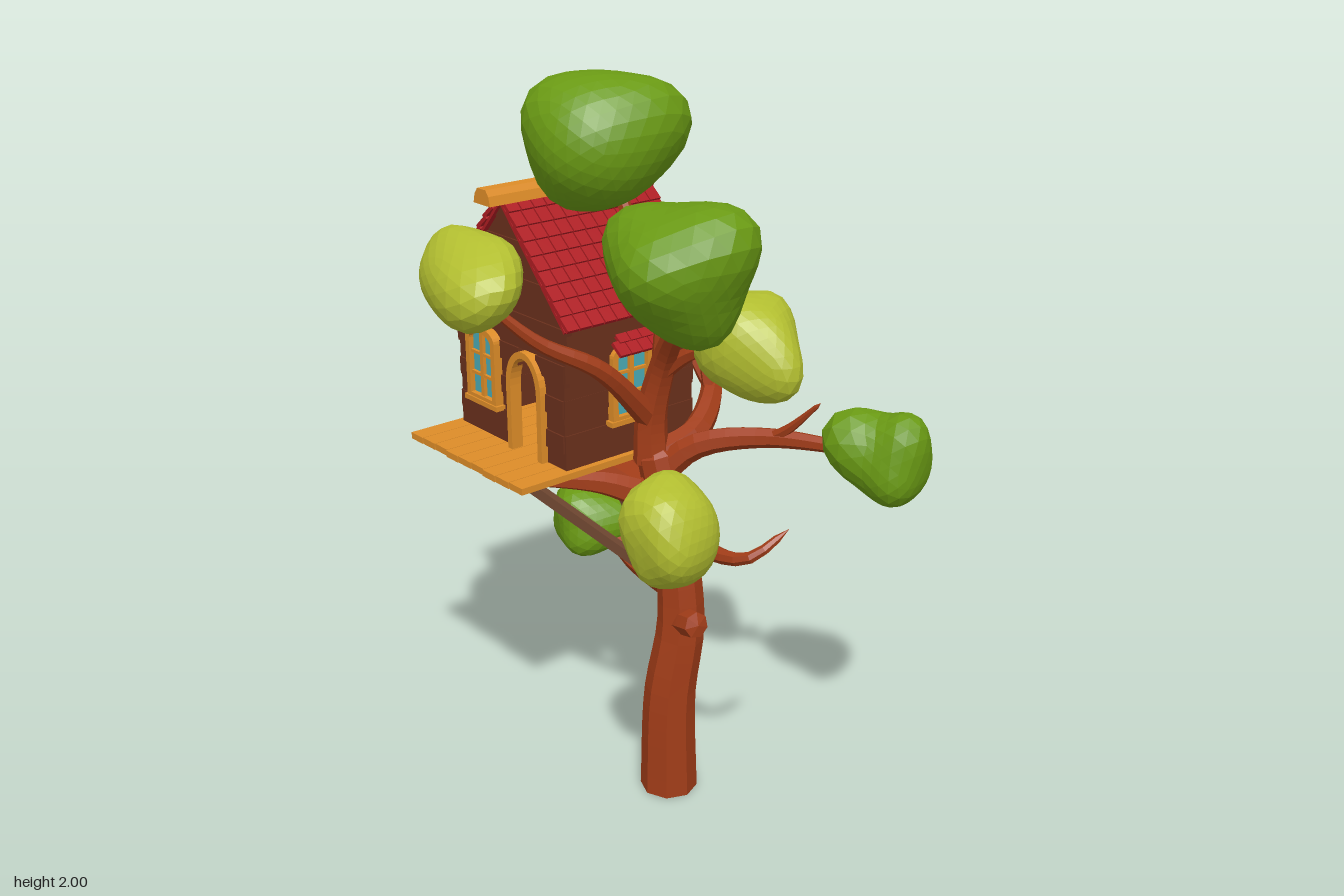
import * as THREE from 'three';

const V = (a) => new THREE.Vector3(...a);
const mat = (color) => new THREE.MeshStandardMaterial({ color, flatShading: true, side: THREE.DoubleSide });
const BARK = mat(0xa03c18), WALL = mat(0x6a301c), TRIM = mat(0xdd8c28), TILE = mat(0xae1c22),
  GLASS = mat(0x4aaab4), LEAF = mat(0x6a9a14), LIGHT = mat(0xb2be30), BEAM = mat(0x6e4630), RUG = mat(0xa8286a);

function add(parent, name, geo, material, pos = [0, 0, 0]) {
  const m = new THREE.Mesh(geo, material);
  m.name = name;
  m.position.set(...pos);
  parent.add(m);
  return m;
}
const box = (p, name, size, pos, m) => add(p, name, new THREE.BoxGeometry(...size), m, pos);
const extrude = (shape, depth) => new THREE.ExtrudeGeometry(shape, { depth, bevelEnabled: false, curveSegments: 8 });
const poly = (pts) => new THREE.Shape(pts.map((p) => new THREE.Vector2(...p)));

// Tapered faceted limb along a curve, closing to a point at its tip
function limb(parent, name, r0, r1, sides, ...pts) {
  const curve = new THREE.CatmullRomCurve3(pts.map(V)), segs = pts.length * 4;
  const geo = new THREE.TubeGeometry(curve, segs, 1, sides);
  const pos = geo.attributes.position, v = new THREE.Vector3();
  for (let i = 0; i <= segs; i++) {
    const c = curve.getPointAt(i / segs);
    const r = i === segs ? 0 : r0 + (r1 - r0) * (i / segs);
    for (let j = 0; j <= sides; j++) {
      const k = i * (sides + 1) + j;
      v.fromBufferAttribute(pos, k).sub(c).multiplyScalar(r).add(c);
      pos.setXYZ(k, v.x, v.y, v.z);
    }
  }
  add(parent, name, geo, BARK);
}

// Limb between two points, its middle lifted by a given height
function twig(parent, name, r0, r1, from, to, lift) {
  const mid = V(from).lerp(V(to), 0.4);
  mid.y += lift;
  limb(parent, name, r0, r1, 6, from, mid.toArray(), to);
}

// Lumpy leaf cluster with a centre and half-sizes
function foliage(parent, centre, half, material, seed) {
  let s = seed * 7919 + 13;
  const rnd = () => ((s = (s * 16807) % 2147483647) / 2147483647) * 2 - 1;
  const lobes = Array.from({ length: 7 }, () => V([rnd(), rnd() * 0.8, rnd()]).normalize());
  const geo = new THREE.IcosahedronGeometry(1, 4), pos = geo.attributes.position, v = new THREE.Vector3();
  for (let i = 0; i < pos.count; i++) {
    v.fromBufferAttribute(pos, i).normalize();
    let r = 0.85;
    for (const l of lobes) r += 0.28 * Math.exp(6 * (v.dot(l) - 1));
    v.multiplyScalar(r);
    pos.setXYZ(i, v.x, v.y, v.z);
  }
  geo.center();
  const b = geo.boundingBox.getSize(new THREE.Vector3());
  geo.scale(2 * half[0] / b.x, 2 * half[1] / b.y, 2 * half[2] / b.z);
  add(parent, 'foliage', geo, material, centre);
}

// Arch outline: straight sides to the spring line, curved top
function arch(w, h, rise) {
  const s = new THREE.Shape();
  s.moveTo(-w, 0); s.lineTo(w, 0); s.lineTo(w, h - rise);
  s.bezierCurveTo(w, h - rise * 0.4, w * 0.5, h, 0, h);
  s.bezierCurveTo(-w * 0.5, h, -w, h - rise * 0.4, -w, h - rise);
  return s;
}

function buildWindow(parent, pos, turn, awning) {
  const g = new THREE.Group();
  g.name = 'window';
  const frame = arch(0.067, 0.215, 0.035), hole = arch(0.05, 0.18, 0.025);
  frame.holes.push(new THREE.Path(hole.getPoints(8).map((p) => p.add(new THREE.Vector2(0, 0.017)))));
  add(g, 'windowFrame', extrude(frame, 0.025), TRIM);
  add(g, 'windowGlass', extrude(arch(0.055, 0.195, 0.025), 0.01), GLASS, [0, 0.01, 0]);
  box(g, 'windowBar', [0.014, 0.19, 0.02], [0, 0.107, 0.01], TRIM);
  for (const y of [0.075, 0.135]) box(g, 'windowBar', [0.11, 0.008, 0.018], [0, y, 0.01], TRIM);
  box(g, 'windowSill', [0.15, 0.014, 0.035], [0, 0, 0.012], TRIM);
  if (awning) for (let r = 0; r < 2; r++) for (let i = 0; i < 4 - r; i++) {
    const t = box(g, 'awningTile', [0.034, 0.01, 0.045],
      [(i - (3 - r) / 2) * 0.037, 0.212 + r * 0.025, 0.045 - r * 0.026], TILE);
    t.rotation.x = 0.65;
  }
  g.position.set(...pos);
  g.rotation.y = turn;
  parent.add(g);
}

const EAVE = 1.38, TOP = 1.66, FRONT = 0.21, BACK = -0.225, DOOR_X = 0.082, DOOR_W = 0.06, DOOR_TOP = 1.265;
const halfW = (y) => y < EAVE ? 0.232 + 0.022 * ((y - 1.1) / 0.28) ** 2 : 0.254 * (TOP - y) / (TOP - EAVE);

function buildHouse(root) {
  const h = new THREE.Group();
  h.name = 'house';
  h.position.x = -0.325;
  root.add(h);

  // Floor planks running front to back
  for (let i = 0; i < 9; i++)
    box(h, 'floorPlank', [0.055, 0.018, 0.6 - (i % 3) * 0.004], [-0.228 + i * 0.057, 0.977, 0.07], TRIM);

  // Lapped wall boards, split around the doorway at the front
  const n = 14, dh = (TOP - 0.985) / n;
  for (let i = 0; i < n; i++) {
    const y0 = 0.985 + i * dh, y1 = y0 + dh, a = halfW(y0), b = halfW(y1), mid = (y0 + y1) / 2;
    const lap = (i % 2) * 0.005, depth = 0.016 + lap;
    const full = [[-a, y0], [a, y0], [b, y1], [-b, y1]];
    add(h, 'backBoard', extrude(poly(full), depth), WALL, [0, 0, BACK - lap]);
    const k = Math.max(0, (mid - 1.18) / (DOOR_TOP - 1.18));
    const d = k < 1 ? DOOR_W * Math.sqrt(1 - k * k) + 0.004 : 0;
    const l = DOOR_X - d, r = DOOR_X + d;
    const pieces = d ? [[[-a, y0], [l, y0], [l, y1], [-b, y1]], [[r, y0], [a, y0], [b, y1], [r, y1]]] : [full];
    for (const p of pieces) add(h, 'frontBoard', extrude(poly(p), depth), WALL, [0, 0, FRONT - 0.016]);
    if (y0 < EAVE - 0.02) for (const s of [-1, 1])
      box(h, 'sideBoard', [depth, dh, FRONT - BACK], [s * (a - 0.006), mid, (FRONT + BACK) / 2], WALL);
  }

  // Door surround, windows, round gable window and bed
  const surround = arch(0.076, 0.29, 0.1);
  surround.holes.push(new THREE.Path(arch(0.057, 0.272, 0.09).getPoints(8)));
  add(h, 'doorFrame', extrude(surround, 0.035), TRIM, [DOOR_X, 0.985, FRONT - 0.015]);
  buildWindow(h, [-0.105, 1.085, FRONT], 0, false);
  for (const s of [-1, 1]) buildWindow(h, [s * 0.232, 1.085, 0], s * Math.PI / 2, true);
  const eye = [-0.01, 1.485, FRONT + 0.006];
  add(h, 'roundGlass', new THREE.CylinderGeometry(0.055, 0.055, 0.02, 18).rotateX(Math.PI / 2), GLASS, eye);
  add(h, 'roundFrame', new THREE.TorusGeometry(0.056, 0.012, 6, 18), TRIM, eye);
  box(h, 'roundBar', [0.008, 0.11, 0.03], eye, TRIM);
  box(h, 'roundBar', [0.11, 0.008, 0.03], eye, TRIM);
  box(h, 'bed', [0.24, 0.07, 0.16], [0.03, 1.02, -0.1], RUG);

  // Roof slopes: deck plus overlapping rows of tiles
  const run = 0.268, rise = 0.295, len = Math.hypot(run, rise);
  for (const s of [-1, 1]) {
    const slope = new THREE.Group();
    slope.name = 'roofSlope';
    slope.position.set(0, 1.665, -0.01);
    slope.rotation.z = -s * Math.atan2(rise, run);
    box(slope, 'roofDeck', [len - 0.01, 0.008, 0.47], [s * len / 2, -0.006, 0], TILE);
    for (let r = 0; r < 9; r++) for (let c = 0; c < 12; c++) {
      const t = box(slope, 'roofTile', [0.054, 0.011, 0.036], [s * (0.025 + r * 0.0435), 0.008, (c - 5.5) * 0.04], TILE);
      t.rotation.z = s * 0.14;
    }
    h.add(slope);
  }
  const cap = poly([[-0.036, 1.655], [0.036, 1.655], [0.03, 1.68], [0.018, 1.695], [-0.018, 1.695], [-0.03, 1.68]]);
  add(h, 'ridgeCap', extrude(cap, 0.53), TRIM, [-0.003, 0, -0.253]);
}

function buildTree(root) {
  // Trunk with closed base and a sawn-off knob
  limb(root, 'trunk', 0.08, 0.05, 8, [0.055, 0, -0.022], [0.055, 0.3, -0.025], [0.065, 0.52, -0.055],
    [0.035, 0.75, -0.055], [-0.03, 1.04, -0.03]);
  add(root, 'trunkBase', new THREE.CircleGeometry(0.08, 8).rotateX(Math.PI / 2), BARK, [0.055, 0.001, -0.022]);
  limb(root, 'knob', 0.04, 0.036, 7, [0.06, 0.52, -0.05], [0.11, 0.54, -0.035], [0.17, 0.555, -0.025]);

  // Main limbs
  limb(root, 'lowBranch', 0.035, 0.018, 7, [0.05, 0.6, -0.055], [-0.14, 0.63, -0.05], [-0.26, 0.7, -0.05]);
  limb(root, 'upperTrunk', 0.05, 0.025, 7, [-0.03, 0.97, -0.03], [-0.03, 1.1, -0.03], [0.02, 1.26, -0.03], [0.13, 1.4, 0.02]);
  limb(root, 'topBranch', 0.028, 0.015, 7, [0.1, 1.37, 0], [0.12, 1.44, 0.02], [0.04, 1.57, 0.06], [-0.04, 1.75, 0.08]);
  limb(root, 'leftBranch', 0.028, 0.014, 7, [0.1, 1.38, 0], [0.2, 1.43, 0.08], [0.32, 1.45, 0.16], [0.36, 1.55, 0.21]);
  limb(root, 'frontBranch', 0.035, 0.012, 7, [-0.03, 1.1, -0.02], [-0.02, 1.27, 0.15], [-0.07, 1.36, 0.3], [-0.13, 1.47, 0.41]);
  limb(root, 'rearBranch', 0.042, 0.014, 7, [-0.02, 0.92, -0.03], [0.06, 1.02, -0.1], [0.2, 1.06, -0.21], [0.48, 1.07, -0.34]);
  limb(root, 'sideBranch', 0.045, 0.008, 7, [-0.02, 0.9, -0.02], [0.28, 0.88, 0.09], [0.46, 0.9, 0.08], [0.51, 0.97, -0.01]);
  limb(root, 'houseBranch', 0.045, 0.014, 7, [-0.02, 0.98, -0.04], [0, 1.03, -0.16], [-0.09, 1.12, -0.3], [-0.35, 1.18, -0.42]);

  // Offshoots of the main limbs
  twig(root, 'twig', 0.025, 0.014, [0, 1.22, -0.03], [0.25, 1.35, -0.1], 0.03);
  twig(root, 'twig', 0.022, 0.008, [0, 1.24, -0.03], [0.03, 1.6, -0.02], 0);
  twig(root, 'twig', 0.018, 0.005, [0.22, 1.06, -0.22], [0.36, 1.19, -0.26], -0.01);
  twig(root, 'twig', 0.028, 0.012, [0.1, 0.9, 0.02], [0.4, 0.98, 0.25], -0.02);

  // Limbs fanning out beneath the floor
  for (const tip of [[-0.61, 0.945, 0.08], [-0.61, 0.91, -0.14], [-0.48, 0.9, -0.28], [-0.25, 0.91, -0.36], [-0.2, 0.94, 0.27]])
    twig(root, 'floorBranch', 0.045, 0.013, [0, 0.87, -0.02], tip, 0.025);

  // Twigs creeping over the back wall
  twig(root, 'wallTwig', 0.028, 0.014, [-0.08, 1.11, -0.29], [-0.4, 1.2, -0.27], 0.08);
  twig(root, 'wallTwig', 0.016, 0.005, [-0.39, 1.205, -0.27], [-0.61, 1.33, -0.26], -0.01);
  twig(root, 'wallTwig', 0.022, 0.006, [-0.2, 1.14, -0.34], [-0.54, 1.13, -0.27], -0.06);
  twig(root, 'wallTwig', 0.014, 0.004, [-0.38, 1.21, -0.28], [-0.5, 1.37, -0.32], 0);
  twig(root, 'wallTwig', 0.024, 0.006, [-0.06, 1.1, -0.27], [-0.2, 1.38, -0.27], 0.05);

  // Leaf clusters: centre, half-sizes, colour
  [
    [[-0.085, 1.825, 0.077], [0.19, 0.175, 0.203], LEAF],
    [[0.378, 1.62, 0.22], [0.188, 0.172, 0.185], LEAF],
    [[0.5, 1.07, -0.342], [0.13, 0.128, 0.122], LEAF],
    [[-0.302, 0.71, -0.05], [0.122, 0.1, 0.122], LEAF],
    [[0.283, 1.35, -0.103], [0.15, 0.132, 0.125], LIGHT],
    [[0.405, 1.008, 0.272], [0.105, 0.137, 0.113], LIGHT],
    [[-0.145, 1.52, 0.433], [0.182, 0.125, 0.127], LIGHT],
    [[-0.36, 1.197, -0.447], [0.115, 0.095, 0.118], LIGHT],
  ].forEach(([c, half, m], i) => foliage(root, c, half, m, i + 1));
}

export function createModel() {
  const root = new THREE.Group();
  root.name = 'treeHouse';
  buildTree(root);
  buildHouse(root);
  // Diagonal props under the floor
  for (const z of [0.27, -0.1]) {
    const from = V([-0.39, 0.965, z]), to = V([0.02, 0.635, -0.03]);
    const prop = box(root, 'prop', [0.028, 0.028, from.distanceTo(to)], from.clone().lerp(to, 0.5).toArray(), BEAM);
    prop.lookAt(to);
  }
  return root;
}
